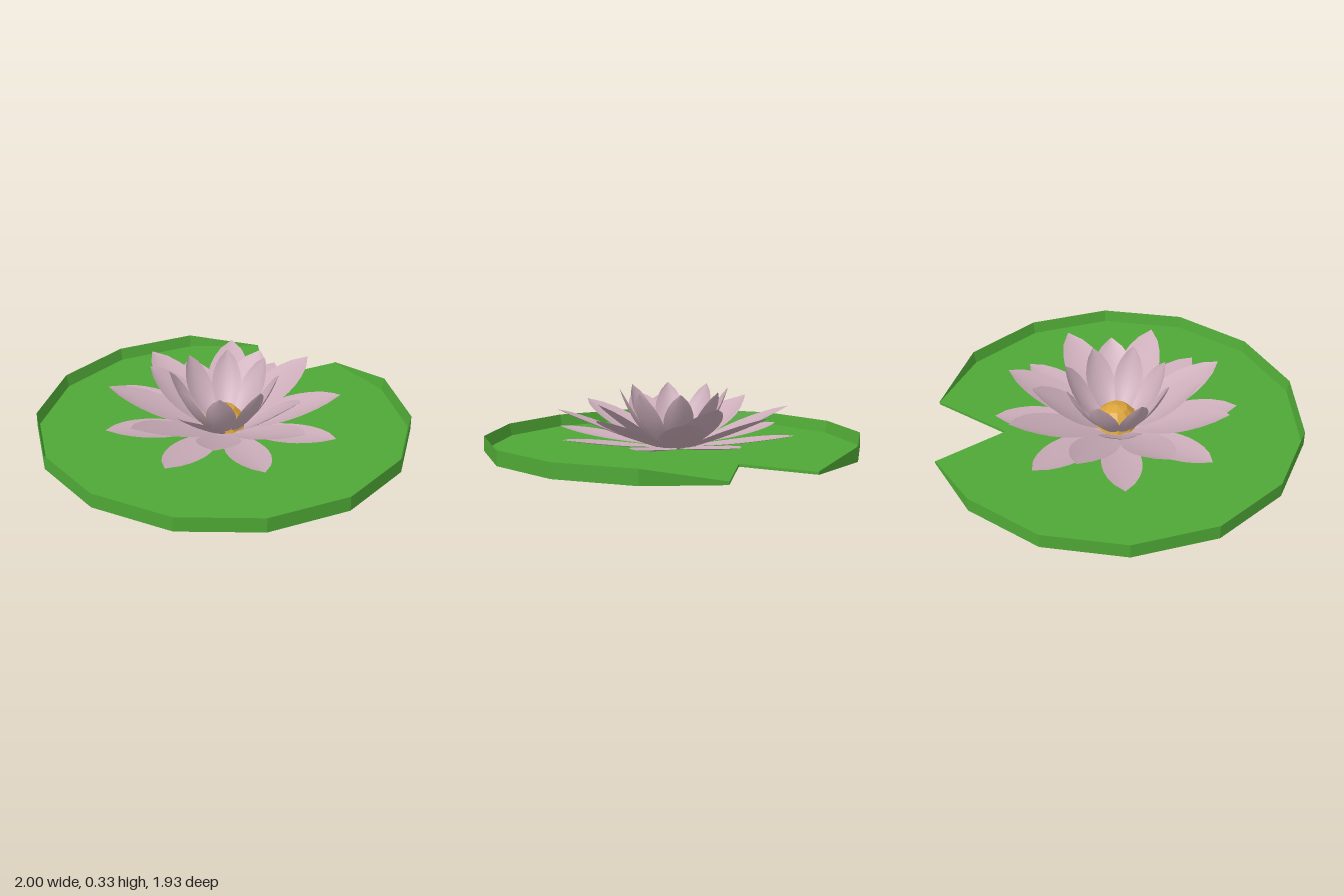
import * as THREE from 'three';

const mat = (name, color, extra = {}) => {
  const m = new THREE.MeshStandardMaterial({ color, ...extra });
  m.name = name;
  return m;
};

// Relative half-width along a petal, base to tip
const WIDTHS = [0.25, 0.42, 0.6, 0.77, 0.91, 0.99, 1, 0.93, 0.77, 0.5, 0];

// Cupped petal growing along +z: base, bend and tip are [radius, height]
function petalGeometry(base, bend, tip, halfWidth, cup) {
  const curve = new THREE.QuadraticBezierCurve(
    new THREE.Vector2(...base), new THREE.Vector2(...bend), new THREE.Vector2(...tip));
  const rows = WIDTHS.length - 1, cols = 6;
  const geo = new THREE.PlaneGeometry(1, 1, cols, rows);
  const pos = geo.attributes.position;
  for (let i = 0; i <= rows; i++) {
    const p = curve.getPoint(i / rows), d = curve.getTangent(i / rows);
    const w = WIDTHS[i];
    for (let j = 0; j <= cols; j++) {
      const v = (j / cols) * 2 - 1;
      const lift = cup * v * v * w;
      pos.setXYZ(i * (cols + 1) + j, v * w * halfWidth, p.y + d.x * lift, p.x - d.y * lift);
    }
  }
  // Winding so that the upper face is the front
  geo.computeVertexNormals();
  return geo;
}

export function createModel() {
  const model = new THREE.Group();
  model.name = 'waterLily';
  const green = mat('leafGreen', 0x4fa836);
  const pink = mat('petalPink', 0xcbadb9, { side: THREE.DoubleSide });
  const gold = mat('centreGold', 0xdca43a, { flatShading: true });

  // Pad outline from the right notch tip round the front to the left notch tip
  const right = [[0.25, -0.965], [0.62, -0.785], [0.9, -0.44], [1, -0.01],
    [0.9, 0.43], [0.62, 0.775], [0.225, 0.965]];
  const outline = [...right, ...right.map(([x, z]) => [-x, z]).reverse()];
  const bottom = 0.01, floor = 0.024, rim = 0.09;

  // Flat pad with its notch
  const shape = new THREE.Shape([...outline, [-0.03, -0.604]]
    .map(([x, z]) => new THREE.Vector2(x, -z)));
  const padGeo = new THREE.ExtrudeGeometry(shape, { depth: floor - bottom, bevelEnabled: false });
  padGeo.rotateX(-Math.PI / 2).translate(0, bottom, 0);
  const pad = new THREE.Mesh(padGeo, green);
  pad.name = 'lilyPad';
  model.add(pad);

  // Upturned rim, sharp at the top, running down to nothing at the notch tips
  const last = outline.length - 1;
  const verts = [];
  const quad = (a, b, c, d) => verts.push(...a, ...b, ...c, ...a, ...c, ...d);
  const section = (i) => {
    const [x, z] = outline[i];
    const end = i === 0 || i === last;
    const s = end ? 1 : 0.986;
    return { low: [x, floor, z], top: [x, end ? floor + 0.003 : rim, z], inner: [x * s, floor, z * s] };
  };
  for (let i = 0; i < last; i++) {
    const a = section(i), b = section(i + 1);
    quad(a.low, a.top, b.top, b.low);
    quad(a.top, a.inner, b.inner, b.top);
  }
  const rimGeo = new THREE.BufferGeometry();
  rimGeo.setAttribute('position', new THREE.Float32BufferAttribute(verts, 3));
  rimGeo.computeVertexNormals();
  const rimMesh = new THREE.Mesh(rimGeo, green);
  rimMesh.name = 'padRim';
  model.add(rimMesh);

  // Flower: four rings of petals from the lowest outwards to the upright inner ones
  const flower = new THREE.Group();
  flower.name = 'flower';
  flower.position.z = -0.008;
  const rings = [
    { name: 'outerPetal', count: 8, turn: 0, base: [0.06, 0.03], bend: [0.35, 0.05], tip: [0.645, 0.11], w: 0.105, cup: 0.012 },
    { name: 'lowerPetal', count: 8, turn: 0.5, base: [0.06, 0.015], bend: [0.3, 0.09], tip: [0.615, 0.235], w: 0.115, cup: 0.015 },
    { name: 'upperPetal', count: 4, turn: 0, base: [0.06, 0.003], bend: [0.23, 0.1], tip: [0.445, 0.277], w: 0.115, cup: 0.02 },
    { name: 'innerPetal', count: 8, turn: 0.5, base: [0.07, 0.015], bend: [0.22, 0.13], tip: [0.288, 0.337], w: 0.078, cup: 0.02 },
  ];
  for (const r of rings) {
    const geo = petalGeometry(r.base, r.bend, r.tip, r.w, r.cup);
    for (let i = 0; i < r.count; i++) {
      const petal = new THREE.Mesh(geo, pink);
      petal.name = r.name;
      petal.rotation.y = ((i + r.turn) / r.count) * Math.PI * 2;
      flower.add(petal);
    }
  }

  // Faceted golden centre
  const centre = new THREE.Mesh(
    new THREE.SphereGeometry(0.116, 10, 3, 0, Math.PI * 2, 0, Math.PI / 2), gold);
  centre.name = 'flowerCentre';
  centre.position.y = 0.035;
  flower.add(centre);
  model.add(flower);
  return model;
}
